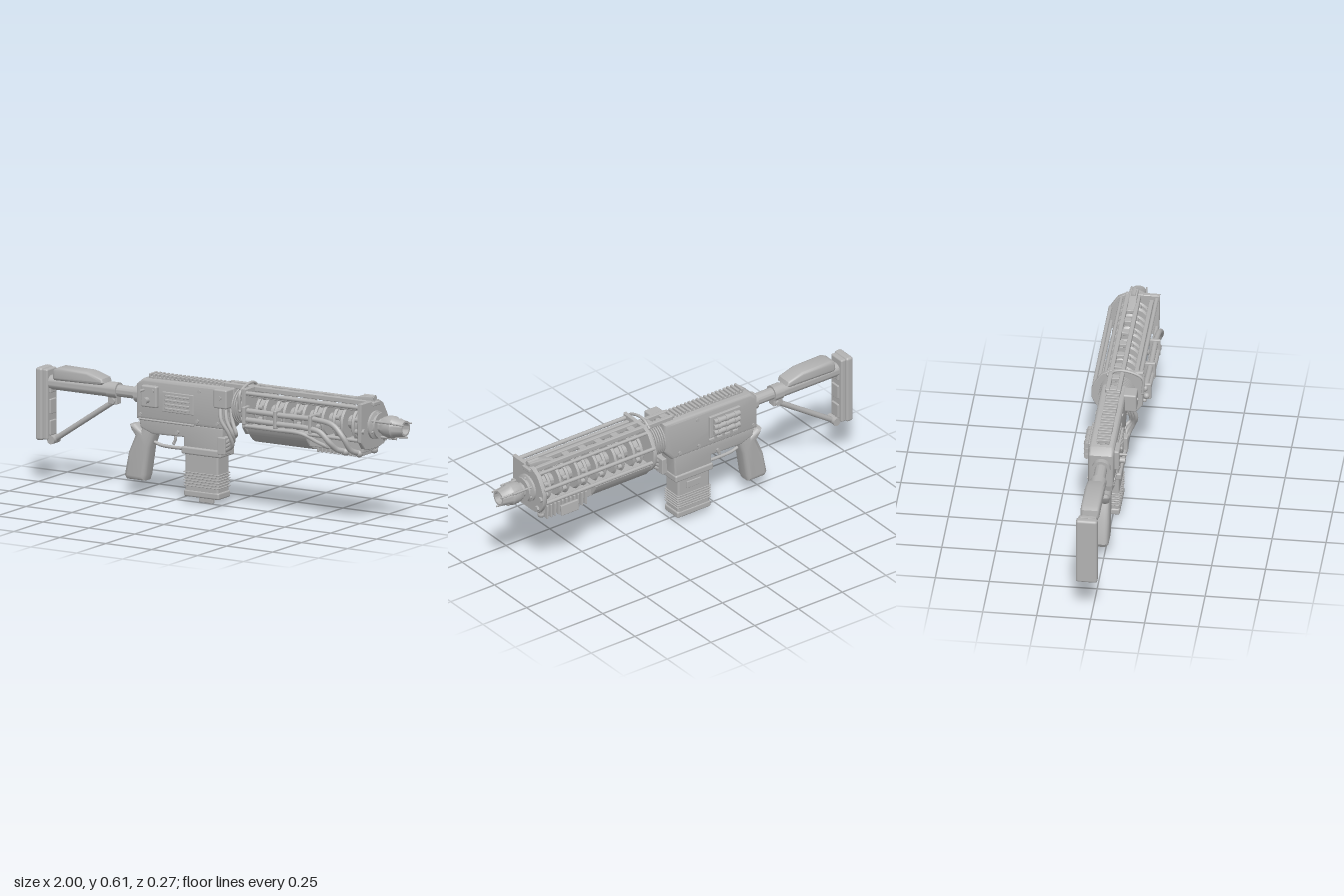
import * as THREE from 'three';
import { RoundedBoxGeometry } from 'three/addons/geometries/RoundedBoxGeometry.js';
import { toCreasedNormals } from 'three/addons/utils/BufferGeometryUtils.js';

export function createModel() {
  const root = new THREE.Group();
  const grey = new THREE.MeshStandardMaterial({ color: 0xb2b2b2 });
  grey.name = 'grey';
  const CY = 0.47, CZ = -0.016; // barrel axis

  const add = (name, geo) => {
    const m = new THREE.Mesh(geo, grey);
    m.name = name;
    root.add(m);
    return m;
  };
  const box = (name, x0, x1, y0, y1, z0, z1, r = 0.004) => {
    const m = add(name, new RoundedBoxGeometry(x1 - x0, y1 - y0, z1 - z0, 2, r));
    m.position.set((x0 + x1) / 2, (y0 + y1) / 2, (z0 + z1) / 2);
    return m;
  };
  // straight round bar between two points
  const rod = (name, a, b, r, sides = 14) => {
    const p = new THREE.Vector3(...a), q = new THREE.Vector3(...b);
    const m = add(name, new THREE.CylinderGeometry(r, r, p.distanceTo(q), sides));
    m.position.copy(p).add(q).multiplyScalar(0.5);
    m.quaternion.setFromUnitVectors(new THREE.Vector3(0, 1, 0), q.sub(p).normalize());
    return m;
  };
  // curved pipe with rounded ends
  const pipe = (name, pts, r) => {
    const v = pts.map(p => new THREE.Vector3(...p));
    add(name, new THREE.TubeGeometry(new THREE.CatmullRomCurve3(v, false, 'centripetal'), 40, r, 10));
    for (const e of [v[0], v[v.length - 1]]) add(name + 'End', new THREE.SphereGeometry(r * 1.15, 12, 8)).position.copy(e);
  };
  // turned part along x from [x, radius] pairs
  const turned = (name, pts, y = CY, z = CZ, sides = 32) => {
    const geo = new THREE.LatheGeometry(pts.map(([x, r]) => new THREE.Vector2(r, x)), sides);
    geo.rotateZ(-Math.PI / 2);
    add(name, toCreasedNormals(geo, 0.6)).position.set(0, y, z);
  };
  const ring = (name, x0, x1, r, y, z, sides) => turned(name, [[x0, 0], [x0, r], [x1, r], [x1, 0]], y, z, sides);
  const shapeOf = pts => new THREE.Shape(pts.map(p => new THREE.Vector2(...p)));
  // side outline (x, y) extruded over z with a bevel
  const side = (name, shape, z0, z1, b = 0.008) => {
    const geo = new THREE.ExtrudeGeometry(shape, { depth: z1 - z0 - 2 * b, bevelSize: b, bevelThickness: b, bevelOffset: -b, bevelSegments: 3, curveSegments: 12 });
    geo.translate(0, 0, z0 + b);
    return add(name, toCreasedNormals(geo, 0.7));
  };
  // end outline (-z, y) extruded over x
  const slab = (name, shape, x0, x1) => {
    const b = 0.003;
    const geo = new THREE.ExtrudeGeometry(shape, { depth: x1 - x0 - 2 * b, bevelSize: b, bevelThickness: b, bevelOffset: -b, bevelSegments: 1, curveSegments: 24 });
    geo.translate(0, 0, x0 + b).rotateY(Math.PI / 2);
    return add(name, toCreasedNormals(geo, 0.6));
  };
  const bolt = (x, y, z, r = 0.009) => rod('bolt', [x, y, z - 0.006], [x, y, z + 0.006], r, 6);

  // shoulder stock
  box('buttPad', -1, -0.962, 0.2, 0.542, -0.07, 0.03, 0.012);
  box('buttPlate', -0.966, -0.937, 0.205, 0.537, -0.062, 0.022, 0.008);
  for (const y of [0.26, 0.36, 0.46]) box('buttRib', -0.945, -0.928, y - 0.035, y + 0.035, -0.045, 0.006);
  turned('stockTube', [[-0.945, 0], [-0.945, 0.034], [-0.62, 0.034], [-0.62, 0.038], [-0.57, 0.038], [-0.57, 0.028],
    [-0.47, 0.028], [-0.47, 0.042], [-0.43, 0.042], [-0.43, 0]], 0.473);
  side('cheekRest', shapeOf([[-0.91, 0.5], [-0.905, 0.54], [-0.88, 0.553], [-0.72, 0.55], [-0.64, 0.525], [-0.632, 0.505], [-0.65, 0.495], [-0.9, 0.49]]), -0.06, 0.028, 0.014);
  rod('stockStrut', [-0.59, 0.425, CZ], [-0.92, 0.205, CZ], 0.013);
  box('strutBracket', -0.62, -0.57, 0.41, 0.45, -0.036, 0.004);
  rod('strutHinge', [-0.925, 0.205, -0.045], [-0.925, 0.205, 0.013], 0.02);
  rod('strutPin', [-0.59, 0.425, -0.045], [-0.59, 0.425, 0.013], 0.012);

  // receiver
  side('upperReceiver', shapeOf([[-0.445, 0.365], [-0.445, 0.53], [-0.41, 0.558], [0.02, 0.565], [0.085, 0.565], [0.085, 0.42], [0.04, 0.365]]), -0.08, 0.038, 0.014);
  side('lowerReceiver', shapeOf([[-0.435, 0.37], [-0.425, 0.325], [-0.36, 0.3], [-0.19, 0.305], [-0.19, 0.25], [0.015, 0.25], [0.025, 0.37]]), -0.07, 0.032);
  box('magazineWell', -0.195, 0.02, 0.23, 0.265, -0.077, 0.045, 0.008);
  box('railBase', -0.39, 0.03, 0.556, 0.568, -0.045, 0.013);
  for (let i = 0; i < 19; i++) box('railTooth', -0.39 + i * 0.022, -0.378 + i * 0.022, 0.565, 0.58, -0.047, 0.015, 0.002);
  rod('seamRod', [-0.43, 0.367, 0.036], [-0.13, 0.367, 0.036], 0.005);

  // right-hand controls: latch box, vent panel
  box('latchBox', -0.405, -0.32, 0.43, 0.532, 0.03, 0.06, 0.008);
  rod('latchKnob', [-0.37, 0.465, 0.05], [-0.37, 0.465, 0.085], 0.014);
  rod('latchPin', [-0.39, 0.51, 0.05], [-0.39, 0.51, 0.095], 0.006);
  bolt(-0.34, 0.51, 0.062);
  box('ventPanel', -0.3, -0.13, 0.415, 0.51, 0.03, 0.042);
  for (let i = 0; i < 4; i++) box('ventSlat', -0.28, -0.15, 0.428 + i * 0.02, 0.437 + i * 0.02, 0.038, 0.052, 0.002);
  for (const [x, y] of [[-0.42, 0.39], [-0.11, 0.39], [-0.22, 0.325], [0, 0.39], [-0.1, 0.53]]) { bolt(x, y, 0.037); bolt(x, y, -0.079); }

  // left-hand cell rack
  box('cellTray', -0.34, -0.165, 0.415, 0.525, -0.092, -0.075);
  for (let i = 0; i < 3; i++) {
    const y = 0.44 + i * 0.03;
    rod('cell', [-0.325, y, -0.1], [-0.18, y, -0.1], 0.013);
    for (const x of [-0.3, -0.25, -0.205]) rod('cellBand', [x - 0.006, y, -0.1], [x + 0.006, y, -0.1], 0.016);
  }
  for (let i = 0; i < 4; i++) box('trayRib', -0.33 + i * 0.045, -0.3 + i * 0.045, 0.39, 0.405, -0.088, -0.075, 0.003);

  // grip, trigger and guard
  side('grip', shapeOf([[-0.495, 0.33], [-0.47, 0.335], [-0.43, 0.31], [-0.42, 0.35], [-0.35, 0.35], [-0.36, 0.3], [-0.385, 0.23],
    [-0.405, 0.1], [-0.415, 0.07], [-0.51, 0.07], [-0.522, 0.09], [-0.5, 0.2], [-0.465, 0.28], [-0.485, 0.305]]), -0.056, 0.024, 0.02);
  pipe('triggerGuard', [[-0.38, 0.255, CZ], [-0.34, 0.243, CZ], [-0.25, 0.24, CZ], [-0.19, 0.243, CZ]], 0.008);
  pipe('trigger', [[-0.27, 0.31, CZ], [-0.262, 0.285, CZ], [-0.272, 0.26, CZ]], 0.007);

  // magazine
  box('magazine', -0.182, -0.002, 0.04, 0.25, -0.065, 0.033, 0.01);
  for (let i = 0; i < 6; i++) box('magazineRidge', -0.187, 0.003, 0.08 + i * 0.0125, 0.085 + i * 0.0125, -0.068, 0.036, 0.002);
  box('magazineBase', -0.187, 0.004, 0.03, 0.062, -0.068, 0.036, 0.008);
  box('magazineNub', -0.13, -0.055, 0, 0.035, -0.027, -0.005, 0.004);
  box('magazineWindow', -0.13, -0.05, 0.175, 0.21, -0.07, -0.06, 0.003);

  // coupling box and hoses to the magazine well
  box('couplingBox', 0.008, 0.08, 0.475, 0.565, 0.025, 0.09, 0.008);
  bolt(0.045, 0.525, 0.09);
  box('hoseManifold', 0.005, 0.045, 0.25, 0.33, -0.005, 0.05);
  for (let i = 0; i < 3; i++) {
    const k = i * 0.018;
    pipe('hose', [[0.035 + k, 0.48, 0.07 - k], [0.05 + k, 0.42, 0.085 - k], [0.08 + k * 0.8, 0.36, 0.07 - k / 2], [0.085, 0.3 + k, 0.045 - k / 2], [0.035, 0.265 + k, 0.03]], 0.009);
  }

  // ribbed neck
  turned('neck', [[0.06, 0], [0.06, 0.062], [0.19, 0.062], [0.19, 0]], 0.48);
  for (let i = 0; i < 7; i++) ring('neckRib', 0.092 + i * 0.012, 0.098 + i * 0.012, 0.082, 0.48);

  // end plates of the coil cage
  const plate = shapeOf([[-0.103, 0.585], [0.05, 0.585], [0.092, 0.562], [0.125, 0.51], [0.137, 0.485], [0.137, 0.43], [0.12, 0.395],
    [0.1, 0.37], [0.05, 0.36], [-0.03, 0.36], [-0.072, 0.37], [-0.1, 0.405]]);
  slab('rearPlate', plate, 0.17, 0.19);
  slab('frontPlate', plate, 0.8, 0.822);
  for (const [y, z] of [[0.455, 0.087], [0.455, -0.121], [0.395, -0.095]]) ring('plateBolt', 0.815, 0.833, 0.013, y, z, 6);
  box('plateTab', 0.81, 0.835, 0.562, 0.58, -0.044, 0.012);

  // barrel with coils
  turned('innerBarrel', [[0.18, 0], [0.18, 0.032], [0.81, 0.032], [0.81, 0]]);
  for (let i = 0; i < 6; i++) {
    const x = 0.215 + i * 0.105;
    turned('coil', [[x, 0.03], [x, 0.076], [x + 0.008, 0.084], [x + 0.016, 0.076], [x + 0.016, 0.068], [x + 0.044, 0.068],
      [x + 0.044, 0.076], [x + 0.052, 0.084], [x + 0.06, 0.076], [x + 0.06, 0.03]]);
    for (let k = 0; k < 8; k++) {
      const a = (k + 0.5) * Math.PI / 4;
      rod('coilStud', [x + 0.02, CY + 0.072 * Math.sin(a), CZ + 0.072 * Math.cos(a)], [x + 0.04, CY + 0.072 * Math.sin(a), CZ + 0.072 * Math.cos(a)], 0.012, 8);
    }
  }

  // cage rods and slotted top cover
  for (const [y, z, r] of [[0.5, -0.126, 0.009], [0.425, -0.122, 0.009], [0.56, -0.075, 0.008], [0.565, 0.088, 0.01], [0.41, 0.088, 0.009]])
    rod('cageRod', [0.18, y, z], [0.81, y, z], r);
  for (const z of [-0.046, 0.006]) box('topRail', 0.02, 0.81, 0.56, 0.584, z - 0.01, z + 0.01);
  for (let i = 0; i < 9; i++) box('topBridge', 0.03 + i * 0.093, 0.065 + i * 0.093, 0.56, 0.578, -0.05, 0.01, 0.003);
  box('sideRail', 0.18, 0.81, 0.545, 0.562, 0.055, 0.075);

  // front sight and cable clip
  side('sightRamp', shapeOf([[0.68, 0.575], [0.75, 0.6], [0.82, 0.604], [0.82, 0.58]]), -0.034, 0.002, 0.003);
  ring('sightBead', 0.765, 0.825, 0.013, 0.597, CZ, 8);
  pipe('cableClip', [[0.16, 0.48, 0.1], [0.16, 0.56, 0.1], [0.16, 0.593, 0.04], [0.16, 0.595, -0.02], [0.16, 0.57, -0.06]], 0.007);

  // lower shroud and finned cooler
  const belly = new THREE.Shape();
  belly.absellipse(-CZ, CY, 0.116, 0.149, Math.PI * 1.13, Math.PI * 1.87);
  slab('lowerShroud', belly, 0.19, 0.51);
  box('coolerCore', 0.5, 0.8, 0.345, 0.4, -0.085, 0.05);
  for (let i = 0; i < 11; i++) box('coolerFin', 0.545 + i * 0.022, 0.554 + i * 0.022, 0.322, 0.392, -0.102, 0.045, 0.003);
  const clip = box('coolerClip', 0.6, 0.7, 0.318, 0.37, -0.114, -0.1);
  clip.rotation.x = 0.1;

  // side pipes with clamps
  pipe('upperPipe', [[0.19, 0.488, 0.108], [0.4, 0.488, 0.112], [0.6, 0.488, 0.112], [0.68, 0.473, 0.117], [0.735, 0.42, 0.117], [0.755, 0.36, 0.085], [0.775, 0.342, 0.046]], 0.013);
  pipe('lowerPipe', [[0.19, 0.447, 0.115], [0.4, 0.447, 0.12], [0.53, 0.447, 0.122], [0.61, 0.435, 0.122], [0.655, 0.39, 0.112], [0.675, 0.355, 0.08], [0.7, 0.342, 0.046]], 0.013);
  pipe('returnPipe', [[0.2, 0.415, 0.105], [0.35, 0.415, 0.108], [0.5, 0.41, 0.1], [0.56, 0.375, 0.07], [0.6, 0.35, 0.04]], 0.009);
  for (const x of [0.7, 0.775]) add('pipeCap', new THREE.SphereGeometry(0.018, 16, 10)).position.set(x, 0.34, 0.045);
  add('leftCap', new THREE.SphereGeometry(0.018, 16, 10)).position.set(0.785, 0.34, -0.07);
  for (const x of [0.2, 0.37, 0.56]) box('pipeClamp', x - 0.008, x + 0.008, 0.425, 0.51, 0.085, 0.136, 0.005);

  // muzzle
  turned('muzzle', [[0.815, 0], [0.815, 0.066], [0.832, 0.066], [0.838, 0.05], [0.85, 0.05], [0.85, 0.034], [0.875, 0.034], [0.875, 0.044],
    [0.9, 0.052], [0.93, 0.052], [0.938, 0.045], [0.99, 0.037], [0.99, 0.028], [0.94, 0.026], [0.94, 0]]);
  for (let i = 0; i < 3; i++) {
    const a = Math.PI / 6 + i * Math.PI * 2 / 3, b = a + Math.PI / 3;
    const at = (x, r, t) => [x, CY + r * Math.sin(t), CZ + r * Math.cos(t)];
    rod('muzzleProng', at(0.83, 0.054, a), at(0.94, 0.054, a), 0.006, 8);
    rod('muzzleTip', at(0.93, 0.047, a), at(1, 0.04, a), 0.004, 8);
    rod('muzzleStud', at(0.825, 0.052, b), at(0.845, 0.052, b), 0.008, 6);
  }
  ring('muzzleCollar', 0.85, 0.857, 0.06);
  return root;
}
